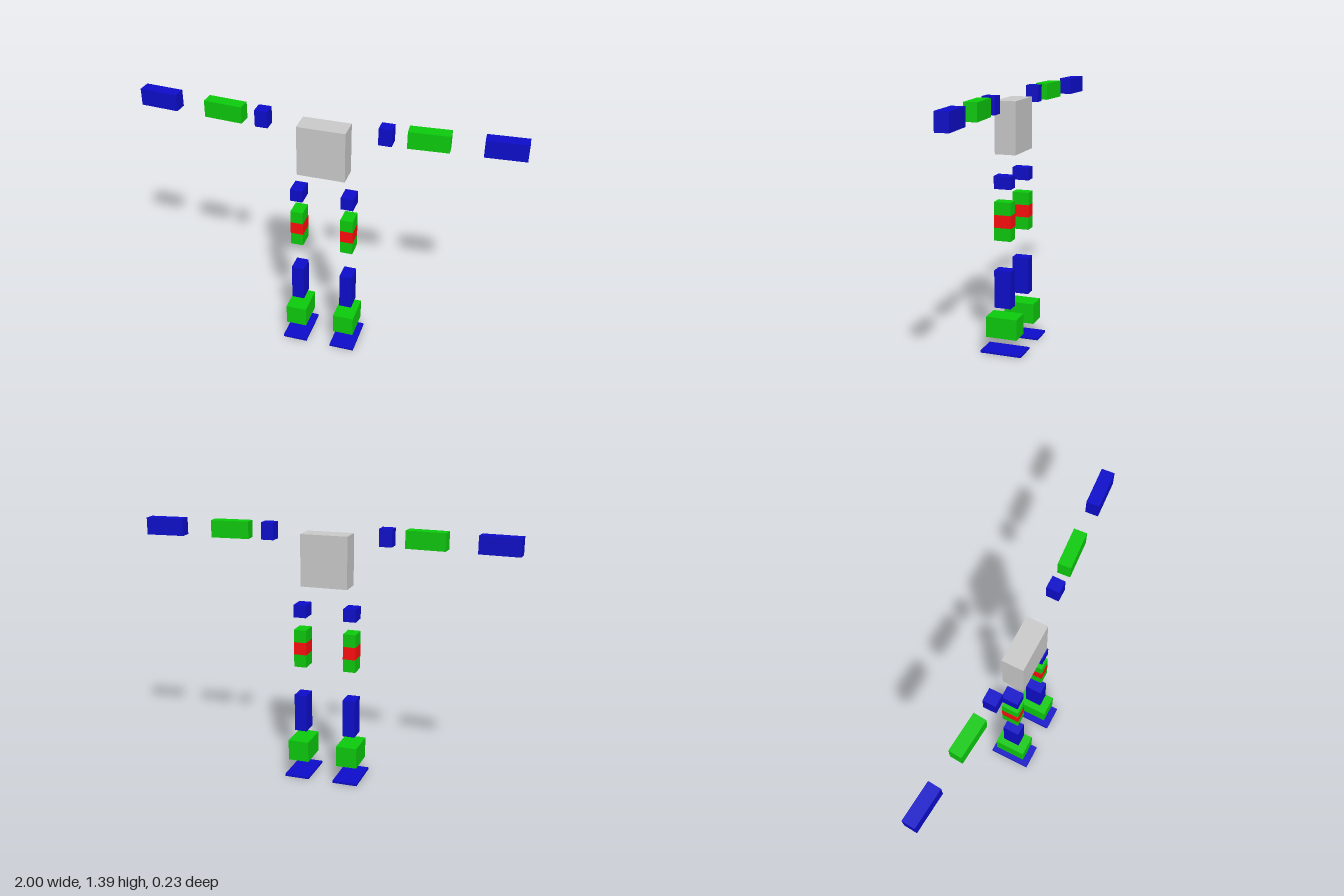
import * as THREE from 'three';

const grey = new THREE.MeshStandardMaterial({ color: 0xcccccc });
const blue = new THREE.MeshStandardMaterial({ color: 0x0d0dcc });
const green = new THREE.MeshStandardMaterial({ color: 0x0dcc0d });
const red = new THREE.MeshStandardMaterial({ color: 0xff0d0d });

function block(parent, name, material, size, position) {
  const mesh = new THREE.Mesh(new THREE.BoxGeometry(...size), material);
  mesh.name = name;
  mesh.position.set(...position);
  parent.add(mesh);
  return mesh;
}

export function createModel() {
  const model = new THREE.Group();
  model.name = 'blockFigure';

  block(model, 'torso', grey, [0.254, 0.275, 0.114], [0, 1.203, 0]);

  for (const [side, s] of [['left', 1], ['right', -1]]) {
    // Arm: the outer segments swing slightly backwards from the shoulder
    block(model, side + 'Shoulder', blue, [0.068, 0.091, 0.068], [s * 0.319, 1.34, 0]);
    const arm = new THREE.Group();
    arm.name = side + 'Arm';
    arm.position.set(s * 0.319, 1.34, 0);
    arm.rotation.y = s * 0.073;
    block(arm, side + 'UpperArm', green, [0.207, 0.091, 0.068], [s * 0.209, 0, 0]);
    block(arm, side + 'Forearm', blue, [0.207, 0.091, 0.068], [s * 0.577, 0, 0]);
    model.add(arm);

    // Leg: stacked blocks from hip to foot
    const leg = new THREE.Group();
    leg.name = side + 'Leg';
    leg.position.x = s * 0.137;
    block(leg, side + 'Hip', blue, [0.068, 0.068, 0.092], [0, 0.927, 0]);
    block(leg, side + 'Thigh', green, [0.068, 0.206, 0.092], [0, 0.722, 0]);
    block(leg, side + 'Knee', red, [0.069, 0.068, 0.093], [0, 0.722, 0]);
    block(leg, side + 'Shin', blue, [0.068, 0.206, 0.092], [0, 0.354, 0]);
    block(leg, side + 'Ankle', green, [0.114, 0.114, 0.172], [0, 0.146, 0]);
    block(leg, side + 'Foot', blue, [0.137, 0.012, 0.23], [0, 0.006, 0]);
    model.add(leg);
  }
  return model;
}
